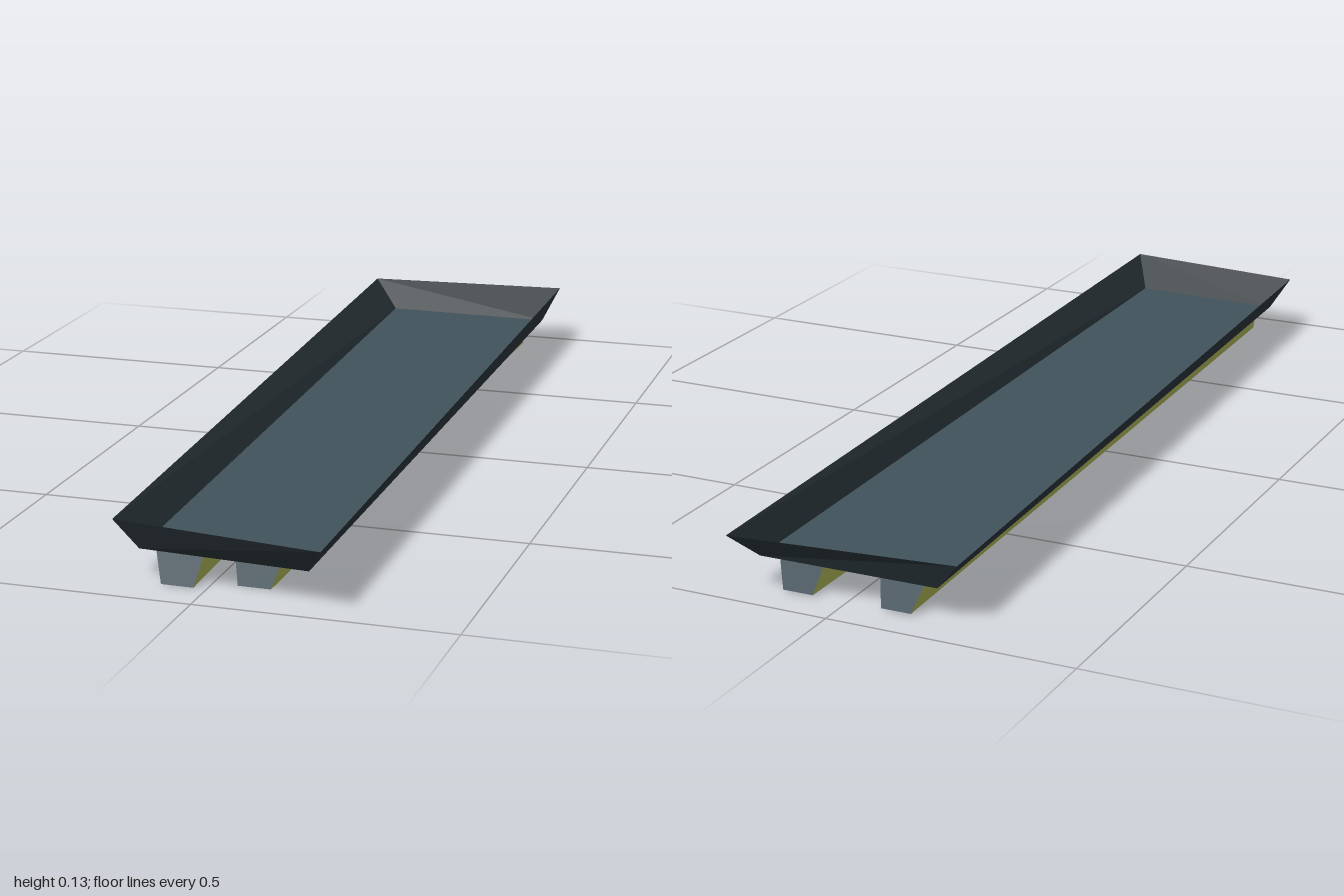
import * as THREE from 'three';

const slate = new THREE.MeshStandardMaterial({ color: 0x40525b, side: THREE.DoubleSide, flatShading: true });
const dark = new THREE.MeshStandardMaterial({ color: 0x252f34, side: THREE.DoubleSide, flatShading: true });
const olive = new THREE.MeshStandardMaterial({ color: 0xa0a850, side: THREE.DoubleSide, flatShading: true });

// Four [x, z] corners laid on a slightly tilted plane at height h
const ring = (h, corners) => corners.map(([x, z]) => [x, h - 0.0055 * x - 0.0015 * z, z]);

// Band quad number i between a lower and an upper ring
const side = (lower, upper, i) => {
  const j = (i + 1) % 4;
  return [lower[i], lower[j], upper[j], upper[i]];
};

function quads(name, faces, material) {
  const points = faces.flatMap(([a, b, c, d]) => [a, b, c, a, c, d]).flat();
  const geometry = new THREE.BufferGeometry();
  geometry.setAttribute('position', new THREE.Float32BufferAttribute(points, 3));
  geometry.computeVertexNormals();
  const mesh = new THREE.Mesh(geometry, material);
  mesh.name = name;
  return mesh;
}

// Tapered beam under the tray: olive flanks and underside, slate ends
function runner(name, bottomCorners, topCorners) {
  const bottom = ring(0.003, bottomCorners);
  const top = ring(0.0632, topCorners);
  const group = new THREE.Group();
  group.name = name;
  group.add(
    quads(name + 'Flanks', [side(bottom, top, 0), side(bottom, top, 2), [...bottom].reverse()], olive),
    quads(name + 'Ends', [side(bottom, top, 1), side(bottom, top, 3)], slate)
  );
  return group;
}

export function createModel() {
  const model = new THREE.Group();
  model.name = 'trayOnRunners';

  // Corner order everywhere: back -x, front -x, front +x, back +x
  const floor = ring(0.0635, [[-0.19, -0.925], [-0.133, 0.91], [0.2, 0.93], [0.18, -0.925]]);
  const rim = ring(0.1275, [[-0.246, -0.955], [-0.17, 0.945], [0.244, 0.998], [0.205, -1.0]]);

  // Thin open tray with flared walls
  model.add(quads('trayFloor', [floor], slate));
  model.add(quads('trayWalls', [0, 1, 2, 3].map((i) => side(floor, rim, i)), dark));

  // Two runners, drawing closer together toward the front
  model.add(runner('rightRunner',
    [[-0.135, -0.925], [-0.088, 0.92], [-0.025, 0.92], [-0.073, -0.925]],
    [[-0.155, -0.9], [-0.106, 0.895], [-0.011, 0.895], [-0.06, -0.9]]));
  model.add(runner('leftRunner',
    [[0.07, -0.925], [0.048, 0.885], [0.112, 0.885], [0.133, -0.925]],
    [[0.056, -0.9], [0.035, 0.862], [0.13, 0.862], [0.153, -0.9]]));

  return model;
}
